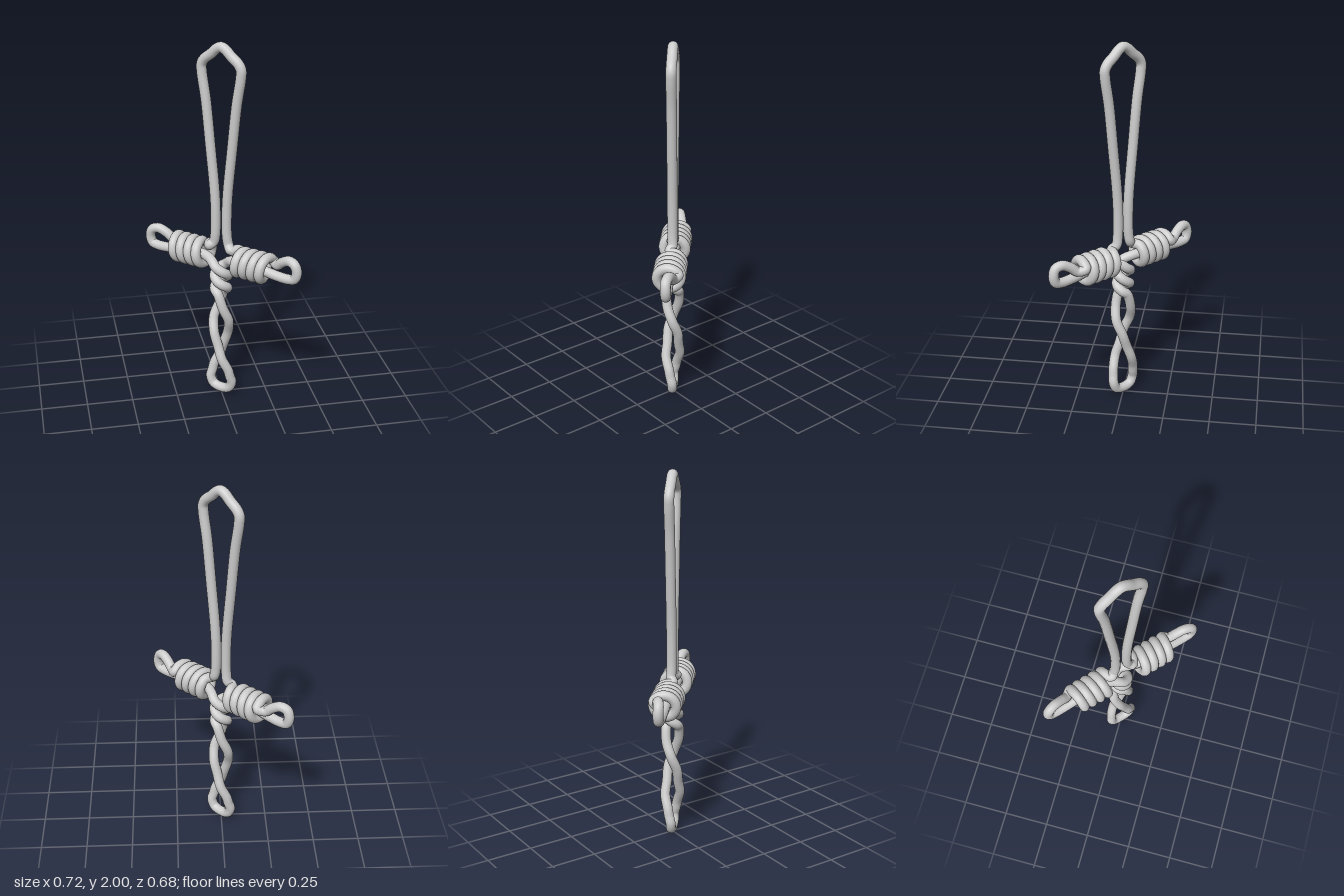
import * as THREE from 'three';

const WIRE = 0.027;
const V = (x, y, z = 0) => new THREE.Vector3(x, y, z);

// One half of the blade and guard, from the tip to the grip (s = -1 or 1 picks the side)
function bladeAndGuard(s) {
  const pts = [
    [0.025, 1.963], [0.06, 1.932], [0.1, 1.9], [0.116, 1.872], [0.115, 1.83], [0.092, 1.69], [0.066, 1.45],
    [0.04, 1.2], [0.034, 1.08], [0.036, 0.96], [0.046, 0.91], [0.068, 0.888, 0.012],
  ].map((p) => V(...p));
  // Coil wound outwards around the guard
  for (let t = 0.08; t <= 4.2; t += 1 / 12) {
    const a = t * Math.PI * 2;
    pts.push(V(0.085 + 0.049 * t, 0.83 + 0.061 * Math.cos(a), -0.061 * Math.sin(a)));
  }
  // End loop, then back through the coil
  pts.push(
    V(0.325, 0.852, -0.03), V(0.365, 0.882, -0.018), V(0.41, 0.902, -0.008), V(0.445, 0.89, 0),
    V(0.458, 0.85, 0), V(0.445, 0.813, 0), V(0.41, 0.803, 0), V(0.34, 0.805, 0),
    V(0.22, 0.822, 0), V(0.12, 0.822, 0), V(0.07, 0.815, s < 0 ? 0.012 : -0.012),
  );
  return pts.map((p) => V(p.x * s, p.y, p.z));
}

// One twisted grip strand, from the guard down to the pommel loop
function gripStrand() {
  // angle in half turns, height, distance from the axis
  const knots = [
    [0.75, 0.8, 0.045], [0.5, 0.775, 0.04], [0, 0.735, 0.037], [-0.5, 0.695, 0.034], [-1, 0.66, 0.036],
    [-1.5, 0.62, 0.033], [-2, 0.46, 0.047], [-2.5, 0.3, 0.031], [-2.9, 0.16, 0.058], [-3, 0.08, 0.068],
  ];
  const pts = [];
  knots.forEach((k, i) => {
    const next = knots[i + 1];
    const steps = next ? [0, 0.5] : [0];
    for (const f of steps) {
      const [a, y, r] = k.map((v, j) => (f ? v + (next[j] - v) * f : v));
      pts.push(V(r * Math.cos(a * Math.PI), y, r * Math.sin(a * Math.PI)));
    }
  });
  pts.push(V(-0.052, 0.042), V(-0.025, 0.029));
  return pts;
}

export function createModel() {
  const group = new THREE.Group();
  group.name = 'twistedWireSword';

  // The whole sword is a single closed length of wire
  const strand = gripStrand();
  const opposite = strand.map((p) => V(-p.x, p.y, -p.z)).reverse();
  const path = [
    V(0, 1.973),
    ...bladeAndGuard(-1), ...strand,
    V(0, 0.027),
    ...opposite, ...bladeAndGuard(1).reverse(),
  ];
  const curve = new THREE.CatmullRomCurve3(path, true, 'centripetal');
  curve.arcLengthDivisions = 3000;

  const wire = new THREE.Mesh(
    new THREE.TubeGeometry(curve, 1400, WIRE, 16, true),
    new THREE.MeshStandardMaterial({ color: 0xcccccc }),
  );
  wire.name = 'bentWire';
  wire.rotation.y = -0.75;
  group.add(wire);
  return group;
}
